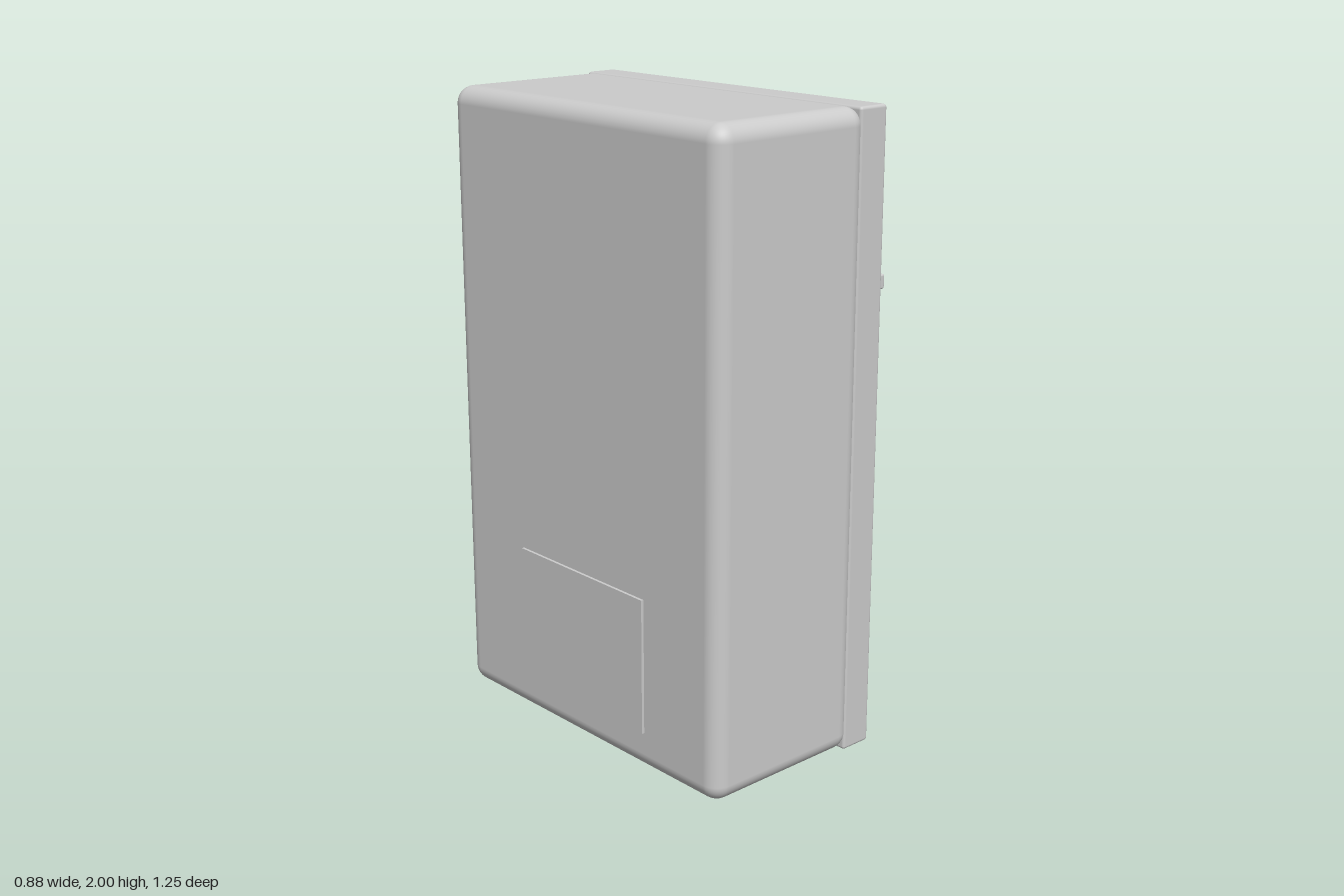
import * as THREE from 'three';
import { RoundedBoxGeometry } from 'three/addons/geometries/RoundedBoxGeometry.js';

const material = new THREE.MeshStandardMaterial({ color: 0xcccccc });

// Box given by its limits on each axis; radius 0 keeps the edges sharp
function block(name, [x0, x1], [y0, y1], [z0, z1], radius = 0, segments = 2) {
  const size = [x1 - x0, y1 - y0, z1 - z0];
  const geometry = radius
    ? new RoundedBoxGeometry(...size, segments, radius)
    : new THREE.BoxGeometry(...size);
  const mesh = new THREE.Mesh(geometry, material);
  mesh.name = name;
  mesh.position.set((x0 + x1) / 2, (y0 + y1) / 2, (z0 + z1) / 2);
  return mesh;
}

export function createModel() {
  const model = new THREE.Group();
  model.name = 'refrigerator';

  // Cabinet with softly rounded edges, its open side tucked behind the door
  model.add(block('cabinet', [-0.434, 0.145], [0.003, 2], [-0.595, 0.62], 0.055, 5));

  // Slab door on the +x side
  model.add(block('door', [0.118, 0.228], [0, 2], [-0.6, 0.615], 0.01, 2));

  // Thin service panel low on the rear of the cabinet
  model.add(block('servicePanel', [-0.443, -0.42], [0.13, 0.565], [-0.278, 0.303]));

  // Two hinges bridging cabinet and door
  for (const [name, y] of [['lowerHinge', 0.183], ['upperHinge', 1.823]]) {
    model.add(block(name, [0.073, 0.159], [y - 0.028, y + 0.028], [-0.626, -0.58]));
  }

  // Door handle: mounting plate, stem and sideways grip
  const handle = new THREE.Group();
  handle.name = 'handle';
  handle.add(
    block('handlePlate', [0.22, 0.262], [1.393, 1.452], [0.315, 0.487]),
    block('handleStem', [0.25, 0.375], [1.406, 1.438], [0.35, 0.436], 0.012, 2),
    block('handleGrip', [0.357, 0.44], [1.397, 1.444], [0.18, 0.438], 0.006, 2)
  );
  model.add(handle);

  return model;
}
